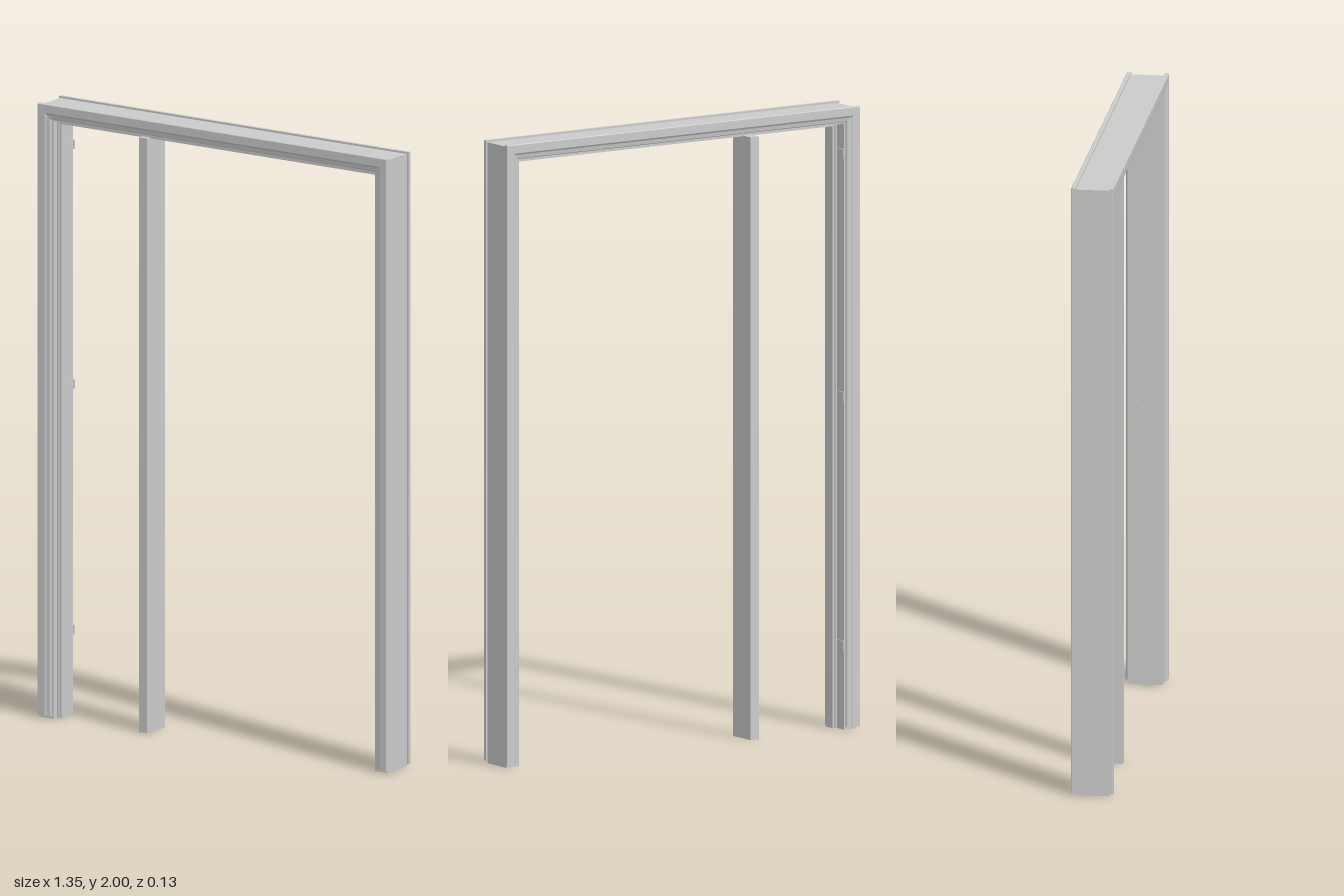
import * as THREE from 'three';

const HALF_W = 0.675, TOP = 2;

// Sweep a closed (inset, z) profile up one side, across the head and down the other, mitred at the corners
function sweepFrame(profile, y0) {
  const pts = profile.map(([d, z]) => new THREE.Vector2(d, z));
  if (THREE.ShapeUtils.isClockWise(pts)) pts.reverse();
  const stations = [
    p => [-(HALF_W - p.x), y0, p.y],
    p => [-(HALF_W - p.x), TOP - p.x, p.y],
    p => [HALF_W - p.x, TOP - p.x, p.y],
    p => [HALF_W - p.x, y0, p.y],
  ];
  const pos = [];
  const tri = (a, b, c) => pos.push(...a, ...b, ...c);
  for (let s = 0; s < 3; s++) {
    pts.forEach((p, i) => {
      const q = pts[(i + 1) % pts.length];
      const a = stations[s](p), b = stations[s](q);
      const c = stations[s + 1](q), d = stations[s + 1](p);
      tri(a, c, b);
      tri(a, d, c);
    });
  }
  // End caps facing the floor
  for (const [a, b, c] of THREE.ShapeUtils.triangulateShape(pts, [])) {
    tri(stations[0](pts[a]), stations[0](pts[b]), stations[0](pts[c]));
    tri(stations[3](pts[a]), stations[3](pts[c]), stations[3](pts[b]));
  }
  const geo = new THREE.BufferGeometry();
  geo.setAttribute('position', new THREE.Float32BufferAttribute(pos, 3));
  geo.computeVertexNormals();
  return geo;
}

export function createModel() {
  const group = new THREE.Group();
  const mat = new THREE.MeshStandardMaterial({ color: 0xcccccc });
  const add = (name, geo, x = 0, y = 0, z = 0) => {
    const mesh = new THREE.Mesh(geo, mat);
    mesh.name = name;
    mesh.position.set(x, y, z);
    group.add(mesh);
    return mesh;
  };

  // Jamb and head lining: front rebate, raised stop, seal step and door rebate
  add('jambLining', sweepFrame([
    [0.006, 0.053], [0.054, 0.053], [0.054, 0.034], [0.06, 0.034], [0.06, 0.028],
    [0.067, 0.028], [0.067, -0.008], [0.06, -0.008], [0.06, -0.014],
    [0.054, -0.014], [0.054, -0.053], [0.006, -0.053],
  ], 0));

  // Moulded casings on both faces, thinner towards the opening
  for (const s of [1, -1]) {
    add(s > 0 ? 'frontCasing' : 'backCasing', sweepFrame([
      [0, 0.053], [0, 0.065], [0.002, 0.067], [0.028, 0.067],
      [0.034, 0.063], [0.046, 0.061], [0.048, 0.059], [0.048, 0.053],
    ].map(([d, z]) => [d, z * s]), 0.008));
  }

  // Upright between door and sidelight
  add('mullion', new THREE.BoxGeometry(0.032, 1.936, 0.1), -0.28, 0.968, -0.003);

  // Hinges on the right jamb
  for (const y of [0.27, 1.07, 1.85]) {
    add('hingePlate', new THREE.BoxGeometry(0.004, 0.03, 0.03), -0.62, y, -0.036);
    add('hingeKnuckle', new THREE.CylinderGeometry(0.004, 0.004, 0.03, 12), -0.619, y, -0.055);
  }

  // Strike plate with latch recess on the left jamb
  const plate = new THREE.Shape();
  plate.moveTo(-0.012, -0.03).lineTo(0.012, -0.03).lineTo(0.012, 0.03).lineTo(-0.012, 0.03);
  const hole = new THREE.Path();
  hole.moveTo(-0.005, -0.012).lineTo(-0.005, 0.012).lineTo(0.005, 0.012).lineTo(0.005, -0.012);
  plate.holes.push(hole);
  const strike = add('strikePlate',
    new THREE.ExtrudeGeometry(plate, { depth: 0.003, bevelEnabled: false }), 0.622, 0.9, -0.034);
  strike.rotation.y = -Math.PI / 2;

  return group;
}
